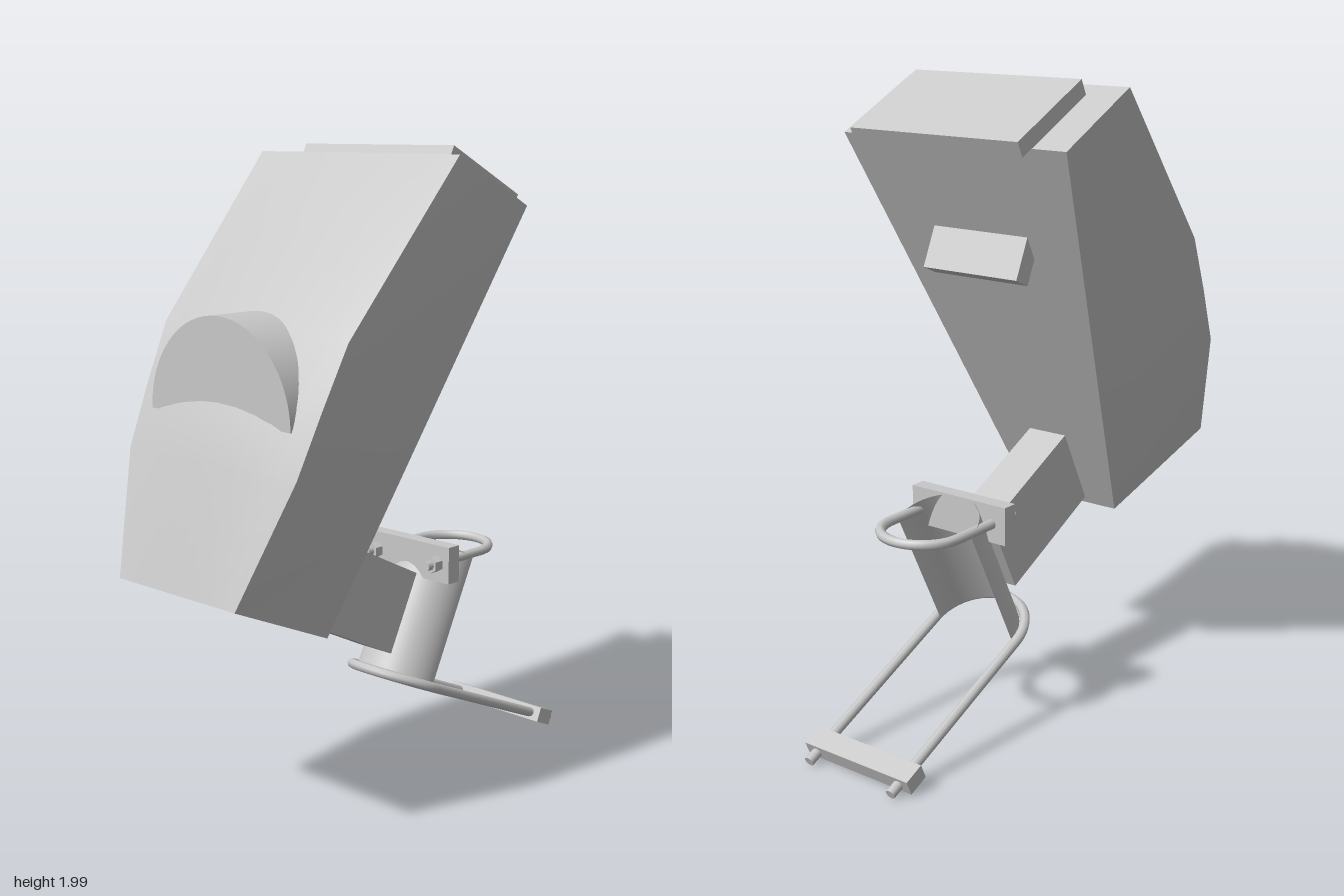
import * as THREE from 'three';
import { toCreasedNormals } from 'three/addons/utils/BufferGeometryUtils.js';

const TILT = 0.46;
const grey = new THREE.MeshStandardMaterial({ color: 0xc8c8c8 });
grey.name = 'light grey';
const greyThin = grey.clone();
greyThin.side = THREE.DoubleSide;

function add(parent, name, geometry, x = 0, y = 0, z = 0, material = grey) {
  const mesh = new THREE.Mesh(geometry, material);
  mesh.name = name;
  mesh.position.set(x, y, z);
  parent.add(mesh);
  return mesh;
}

// Tapered housing lofted from level sections with a slightly bowed front
function housingGeometry() {
  // height, front depth, front half width, bow of the front
  const sections = [
    [0, 0.463, 0.25, 0],
    [0.36, 0.5, 0.355, 0.025],
    [0.56, 0.506, 0.37, 0.038],
    [0.76, 0.506, 0.383, 0.012],
    [1.39, 0.344, 0.407, 0],
  ];
  const cols = 10, ring = cols + 3, top = 1.39;
  const pos = [], idx = [];
  for (const [u, v, w, bow] of sections) {
    const back = THREE.MathUtils.lerp(0.18, 0.407, u / top);
    for (let i = 0; i <= cols; i++) {
      const t = (i / cols) * 2 - 1;
      pos.push(w * t, u === 0 ? -0.02 : u, v + bow * (1 - t * t));
    }
    pos.push(back, u, 0, -back, u, 0);
  }
  for (let s = 0; s < sections.length - 1; s++) {
    for (let i = 0; i < ring; i++) {
      const a = s * ring + i, b = s * ring + ((i + 1) % ring);
      idx.push(a, b, b + ring, a, b + ring, a + ring);
    }
  }
  const last = (sections.length - 1) * ring;
  for (let i = 1; i < ring - 1; i++) {
    idx.push(0, i + 1, i, last, last + i, last + i + 1);
  }
  const g = new THREE.BufferGeometry();
  g.setAttribute('position', new THREE.Float32BufferAttribute(pos, 3));
  g.setIndex(idx);
  return toCreasedNormals(g, 0.45);
}

// U-bolt lying flat: bend towards +z, legs towards -z, with a clamp plate
function uBolt(name, radius, leg, plate, plateAt, nutAt) {
  const group = new THREE.Group();
  group.name = name;
  const rod = 0.016;
  const bend = new THREE.TorusGeometry(radius, rod, 8, 24, Math.PI);
  bend.rotateX(Math.PI / 2);
  add(group, 'boltBend', bend);
  for (const side of [-1, 1]) {
    const shaft = new THREE.CylinderGeometry(rod, rod, leg, 8);
    shaft.rotateX(Math.PI / 2);
    add(group, 'boltLeg', shaft, side * radius, 0, -leg / 2);
    if (nutAt) {
      const nut = new THREE.CylinderGeometry(0.027, 0.027, 0.035, 6);
      nut.rotateX(Math.PI / 2);
      add(group, 'nut', toCreasedNormals(nut, 0.5), side * radius, 0, -nutAt);
    }
  }
  add(group, 'clampPlate', new THREE.BoxGeometry(...plate), 0, 0, -plateAt);
  return group;
}

export function createModel() {
  const model = new THREE.Group();
  model.name = 'poleMountedUnit';

  // Parts that share the lean of the housing
  const leaning = new THREE.Group();
  leaning.name = 'leaningUnit';
  leaning.position.set(0, 0.57, 0.345);
  leaning.rotation.x = -TILT;
  model.add(leaning);

  add(leaning, 'housing', housingGeometry());
  add(leaning, 'topPlate', new THREE.BoxGeometry(0.61, 0.05, 0.335), 0, 1.427, 0.104);
  add(leaning, 'mountArm', new THREE.BoxGeometry(0.14, 0.27, 0.47), 0, 0.159, -0.195);

  // Half-round saddle that grips the pole, open to the back
  const saddle = new THREE.CylinderGeometry(0.143, 0.143, 0.45, 32, 1, true, -Math.PI / 2, Math.PI);
  add(leaning, 'poleSaddle', saddle, 0, 0.185, -0.59, greyThin);

  // Half-round hood on the front
  const arch = new THREE.Shape();
  arch.absarc(0, 0, 0.294, 0, Math.PI, false);
  arch.closePath();
  const hood = new THREE.ExtrudeGeometry(arch, { depth: 0.295, bevelEnabled: false, curveSegments: 32 });
  add(model, 'frontHood', toCreasedNormals(hood, 0.5), 0, 1.235, 0.3);

  // Flap on the back
  const flap = add(model, 'backFlap', new THREE.BoxGeometry(0.35, 0.2, 0.06), 0, 1.498, -0.12);
  flap.rotation.x = 0.42;

  // Clamps
  const upper = uBolt('upperClamp', 0.13, 0.265, [0.36, 0.12, 0.05], 0.185, 0.225);
  upper.position.set(0, 0.68, -0.41);
  upper.rotation.y = Math.PI;
  model.add(upper);

  const lower = uBolt('lowerClamp', 0.16, 0.654, [0.4, 0.05, 0.07], 0.579, 0);
  lower.position.set(0, 0.277, -0.166);
  lower.rotation.x = 0.412 * -1;
  model.add(lower);

  return model;
}
